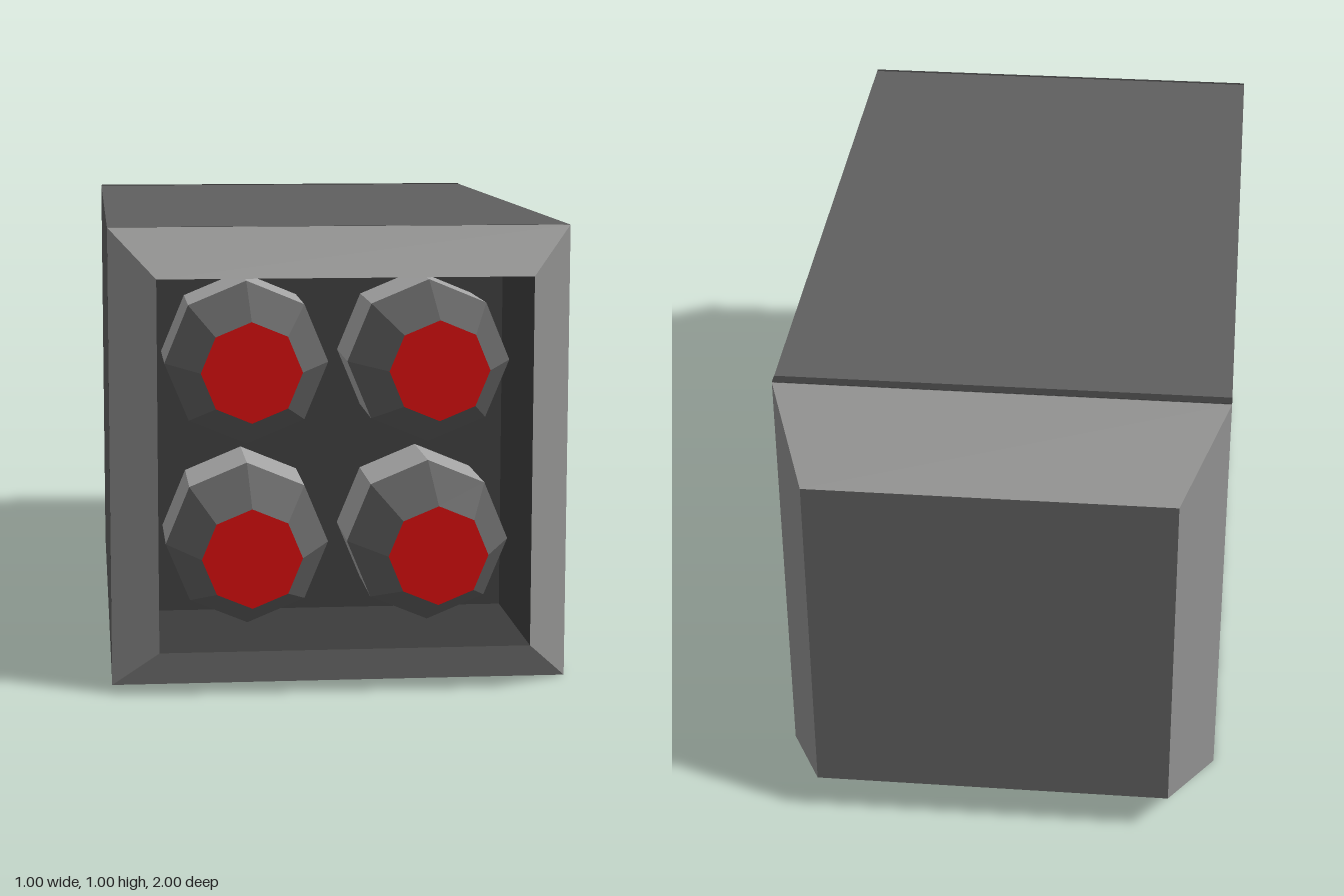
import * as THREE from 'three';

const mat = (name, color) => {
  const m = new THREE.MeshStandardMaterial({ color, flatShading: true });
  m.name = name;
  return m;
};

// Square tube lofted through rings of [halfWidth, z], going from front to back
function squareLoft(rings) {
  const corners = [[-1, -1], [1, -1], [1, 1], [-1, 1]];
  const pos = [];
  const point = ([h, z], c) => [corners[c % 4][0] * h, 0.5 + corners[c % 4][1] * h, z];
  for (let r = 0; r < rings.length - 1; r++) {
    for (let c = 0; c < 4; c++) {
      const a = point(rings[r], c), b = point(rings[r], c + 1);
      const d = point(rings[r + 1], c), e = point(rings[r + 1], c + 1);
      pos.push(...a, ...d, ...b, ...b, ...d, ...e);
    }
  }
  const g = new THREE.BufferGeometry();
  g.setAttribute('position', new THREE.Float32BufferAttribute(pos, 3));
  g.computeVertexNormals();
  return g;
}

export function createModel() {
  const body = mat('bodyGrey', 0x5f5f5f);
  const trim = mat('trimGrey', 0x90908f);
  const dark = mat('darkGrey', 0x3c3c3c);
  const light = mat('lightGrey', 0xa4a4a4);
  const red = mat('red', 0xcc0c0c);

  const group = new THREE.Group();
  const add = (name, geometry, material, parent = group) => {
    const m = new THREE.Mesh(geometry, material);
    m.name = name;
    parent.add(m);
    return m;
  };

  const FRONT = 0.875, BACK = -0.745, FLOOR = 0.6;

  // Outer casing with sloped front and rear rims
  add('casing', squareLoft([[0.5, FRONT - 0.01], [0.5, BACK]]), body);
  add('frontSeam', squareLoft([[0.5, FRONT], [0.5, FRONT - 0.01]]), dark);
  add('frontRim', squareLoft([[0.4, 1], [0.5, FRONT]]), trim);
  add('rearRim', squareLoft([[0.5, BACK], [0.4, -1]]), trim);
  add('rearPlate', new THREE.PlaneGeometry(0.8, 0.8).rotateY(Math.PI).translate(0, 0.5, -1), body);

  // Thin seam across the top at the rear
  add('rearSeam', new THREE.BoxGeometry(1, 0.002, 0.025).translate(0, 1, -0.731), dark);

  // Recessed opening: walls face inwards, floor faces forwards
  add('recessWalls', squareLoft([[0.4, FLOOR], [0.4, 1]]), dark);
  add('recessFloor', new THREE.PlaneGeometry(0.8, 0.8).translate(0, 0.5, FLOOR), dark);

  // Four eight-sided rockets
  const tube = (r1, r2, z1, z2) =>
    new THREE.CylinderGeometry(r1, r2, z1 - z2, 8, 1, true).rotateX(Math.PI / 2).translate(0, 0, (z1 + z2) / 2);
  const shaft = tube(0.179, 0.179, 0.82, FLOOR);
  const nose = tube(0.108, 0.179, 0.995, 0.82);
  const tip = new THREE.CircleGeometry(0.108, 8).translate(0, 0, 0.995);
  for (const x of [-0.2, 0.2]) {
    for (const y of [0.3, 0.7]) {
      const rocket = new THREE.Group();
      rocket.name = 'rocket';
      rocket.position.set(x, y, 0);
      add('rocketShaft', shaft, light, rocket);
      add('rocketNose', nose, body, rocket);
      add('rocketTip', tip, red, rocket);
      group.add(rocket);
    }
  }
  return group;
}
